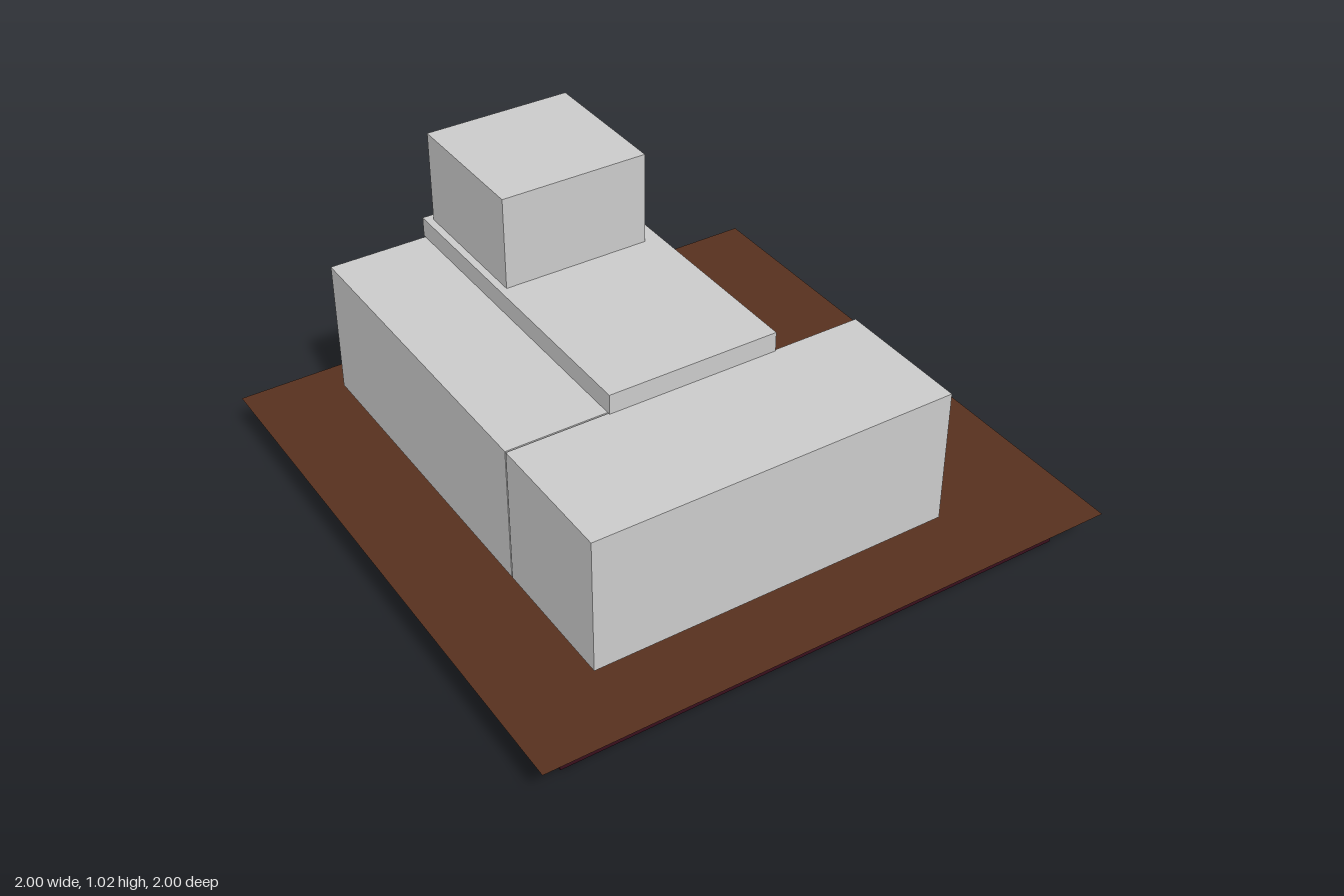
import * as THREE from 'three';

const material = (color) => new THREE.MeshStandardMaterial({ color });

// Box given by its [min, max] range on each axis
function block(name, [x0, x1], [y0, y1], [z0, z1], mat) {
  const mesh = new THREE.Mesh(new THREE.BoxGeometry(x1 - x0, y1 - y0, z1 - z0), mat);
  mesh.position.set((x0 + x1) / 2, (y0 + y1) / 2, (z0 + z1) / 2);
  mesh.name = name;
  return mesh;
}

export function createModel() {
  const model = new THREE.Group();
  model.name = 'hospital';

  const grey = material(0xcccccc);
  const maroon = material(0x380f1c);
  const red = material(0xe9121e);
  const soil = material(0x57311f);
  soil.side = THREE.DoubleSide;

  // Foundation with a thin, wider sheet of ground on top
  model.add(block('foundation', [-0.885, 0.905], [0, 0.14], [-0.9, 0.89], maroon));
  const ground = new THREE.Mesh(new THREE.PlaneGeometry(2, 2), soil);
  ground.rotation.x = -Math.PI / 2;
  ground.position.y = 0.146;
  ground.name = 'groundSheet';
  model.add(ground);

  // L-shaped building, roof slab overhanging the rear wing, and tower
  model.add(
    block('frontWing', [-0.69, 0.55], [0.165, 0.635], [0.29, 0.755], grey),
    block('rearWing', [-0.69, -0.1], [0.165, 0.635], [-0.86, 0.285], grey),
    block('roofSlab', [-0.35, 0.24], [0.637, 0.705], [-0.867, 0.298], grey),
    block('tower', [-0.325, 0.185], [0.705, 1.025], [-0.838, -0.35], grey)
  );

  // Cross sign on the tower wall
  const w = 0.025, h = 0.14, s = 0.1425;
  const outline = [[-w, -h], [w, -h], [w, -w], [s, -w], [s, w], [w, w],
    [w, h], [-w, h], [-w, w], [-s, w], [-s, -w], [-w, -w]];
  const shape = new THREE.Shape(outline.map(([x, y]) => new THREE.Vector2(x, y)));
  const cross = new THREE.Mesh(
    new THREE.ExtrudeGeometry(shape, { depth: 0.01, bevelEnabled: false }), red);
  cross.rotation.y = Math.PI / 2;
  cross.position.set(0.185, 0.862, -0.592);
  cross.name = 'crossSign';
  model.add(cross);

  return model;
}
